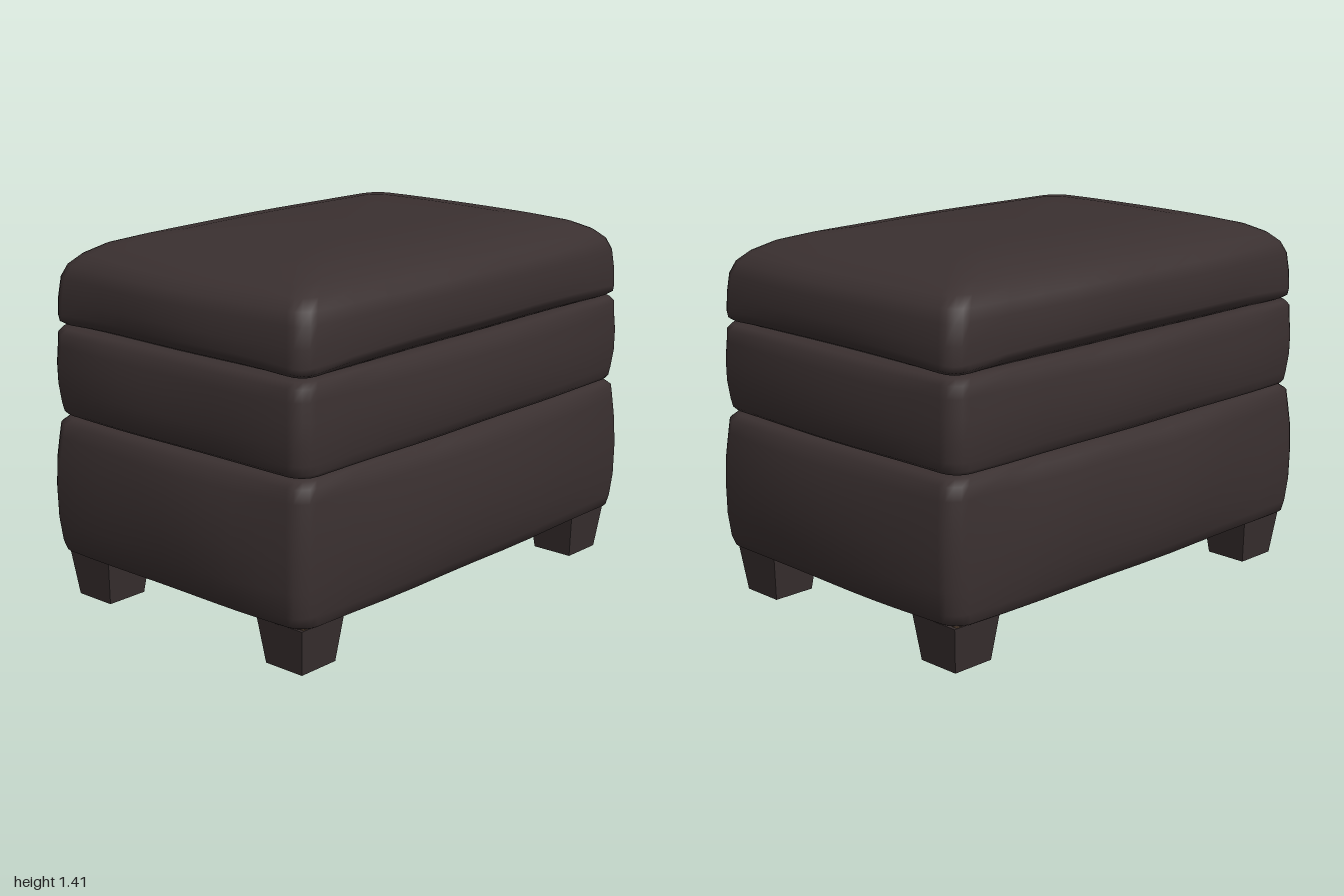
import * as THREE from 'three';

// Rounded rectangle of half sizes hx, hz whose sides bow outwards in the middle
function ring(hx, hz, bow) {
  const r = Math.min(0.07, hx * 0.15, hz * 0.15);
  const arc = 5, side = 10, corners = [], pts = [];
  for (let q = 0; q < 4; q++) {
    const sx = q === 0 || q === 3 ? 1 : -1, sz = q < 2 ? 1 : -1;
    const list = [];
    for (let i = 0; i < arc; i++) {
      const a = (q + i / (arc - 1)) * Math.PI / 2;
      list.push([sx * (hx - r) + r * Math.cos(a), sz * (hz - r) + r * Math.sin(a)]);
    }
    corners.push(list);
  }
  corners.forEach((list, q) => {
    pts.push(...list);
    const a = list[arc - 1], b = corners[(q + 1) % 4][0];
    for (let i = 1; i < side; i++) {
      const t = i / side;
      pts.push([a[0] + (b[0] - a[0]) * t, a[1] + (b[1] - a[1]) * t]);
    }
  });
  return pts.map(([x, z]) => {
    const u = hx ? x / hx : 0, v = hz ? z / hz : 0;
    return [x - u * bow * v * v, z - v * bow * u * u, u, v];
  });
}

// Cushion lofted upwards through rows of [y, halfX, halfZ, bow, lift at the middle of each side]
function cushion(rows, phase) {
  const pos = [], index = [];
  let n = 0;
  for (const [y, hx, hz, bow = 0, lift = 0] of rows) {
    const pts = ring(hx, hz, bow);
    n = pts.length;
    for (const [x, z, u, v] of pts) {
      const crease = 1 + 0.004 * Math.sin(9 * x + 7 * z + phase + y * 5);
      const middle = 1 - Math.pow(Math.min(Math.abs(u), Math.abs(v)), 4);
      pos.push(x * crease, y + lift * middle, z * crease);
    }
  }
  for (let i = 0; i < rows.length - 1; i++) {
    for (let j = 0; j < n; j++) {
      const a = i * n + j, b = i * n + (j + 1) % n;
      index.push(a, a + n, b, b, a + n, b + n);
    }
  }
  const geo = new THREE.BufferGeometry();
  geo.setAttribute('position', new THREE.Float32BufferAttribute(pos, 3));
  geo.setIndex(index);
  geo.computeVertexNormals();
  return geo;
}

export function createModel() {
  const group = new THREE.Group();
  const leather = new THREE.MeshStandardMaterial({ color: 0x3a3030 });
  leather.name = 'dark brown leather';
  const wood = new THREE.MeshStandardMaterial({ color: 0x382f2f });
  wood.name = 'dark wood';
  const lining = new THREE.MeshStandardMaterial({ color: 0x523f2c });
  lining.name = 'brown lining';

  const add = (name, geo, mat) => {
    const mesh = new THREE.Mesh(geo, mat);
    mesh.name = name;
    group.add(mesh);
    return mesh;
  };

  // Upholstered base
  add('base', cushion([
    [0.177, 0, 0], [0.177, 0.86, 0.57], [0.177, 0.915, 0.625, 0.01], [0.19, 0.94, 0.65, 0.015],
    [0.23, 0.968, 0.668, 0.03], [0.32, 0.99, 0.69, 0.045], [0.44, 0.997, 0.697, 0.05],
    [0.55, 0.99, 0.69, 0.045], [0.64, 0.972, 0.675, 0.035], [0.69, 0.952, 0.658, 0.02],
    [0.71, 0.925, 0.635, 0.015], [0.718, 0.88, 0.6], [0.718, 0, 0],
  ], 0), leather);

  // Middle cushion
  add('middleCushion', cushion([
    [0.715, 0, 0], [0.715, 0.88, 0.6], [0.724, 0.92, 0.635, 0.01], [0.738, 0.942, 0.652, 0.02],
    [0.77, 0.957, 0.665, 0.03], [0.84, 0.967, 0.677, 0.035], [0.92, 0.967, 0.677, 0.035],
    [0.99, 0.957, 0.667, 0.03], [1.035, 0.945, 0.657, 0.02], [1.055, 0.92, 0.635, 0.01],
    [1.062, 0.88, 0.6], [1.062, 0, 0],
  ], 2), leather);

  // Domed seat cushion
  add('topCushion', cushion([
    [1.058, 0, 0], [1.058, 0.87, 0.59], [1.064, 0.915, 0.625, 0.01, 0.015],
    [1.075, 0.938, 0.648, 0.015, 0.028], [1.1, 0.947, 0.656, 0.02, 0.02], [1.17, 0.95, 0.66, 0.025],
    [1.245, 0.945, 0.659, 0.03], [1.29, 0.925, 0.642, 0.03], [1.325, 0.885, 0.608, 0.03],
    [1.358, 0.81, 0.555, 0.03], [1.385, 0.71, 0.47, 0.03], [1.402, 0.58, 0.36, 0.02],
    [1.408, 0.35, 0.2], [1.41, 0, 0],
  ], 4), leather);

  // Lining under the base
  const panel = add('underside', new THREE.BoxGeometry(1.78, 0.008, 1.2), lining);
  panel.position.y = 0.172;

  // Tapered square legs
  const legGeo = new THREE.CylinderGeometry(0.108 * Math.SQRT2, 0.086 * Math.SQRT2, 0.175, 4, 1)
    .rotateY(Math.PI / 4).toNonIndexed();
  legGeo.computeVertexNormals();
  for (const sx of [-1, 1]) {
    for (const sz of [-1, 1]) {
      const name = (sz > 0 ? 'front' : 'back') + (sx > 0 ? 'Left' : 'Right') + 'Leg';
      add(name, legGeo, wood).position.set(sx * 0.795, 0.0875, sz * 0.497);
    }
  }
  return group;
}
